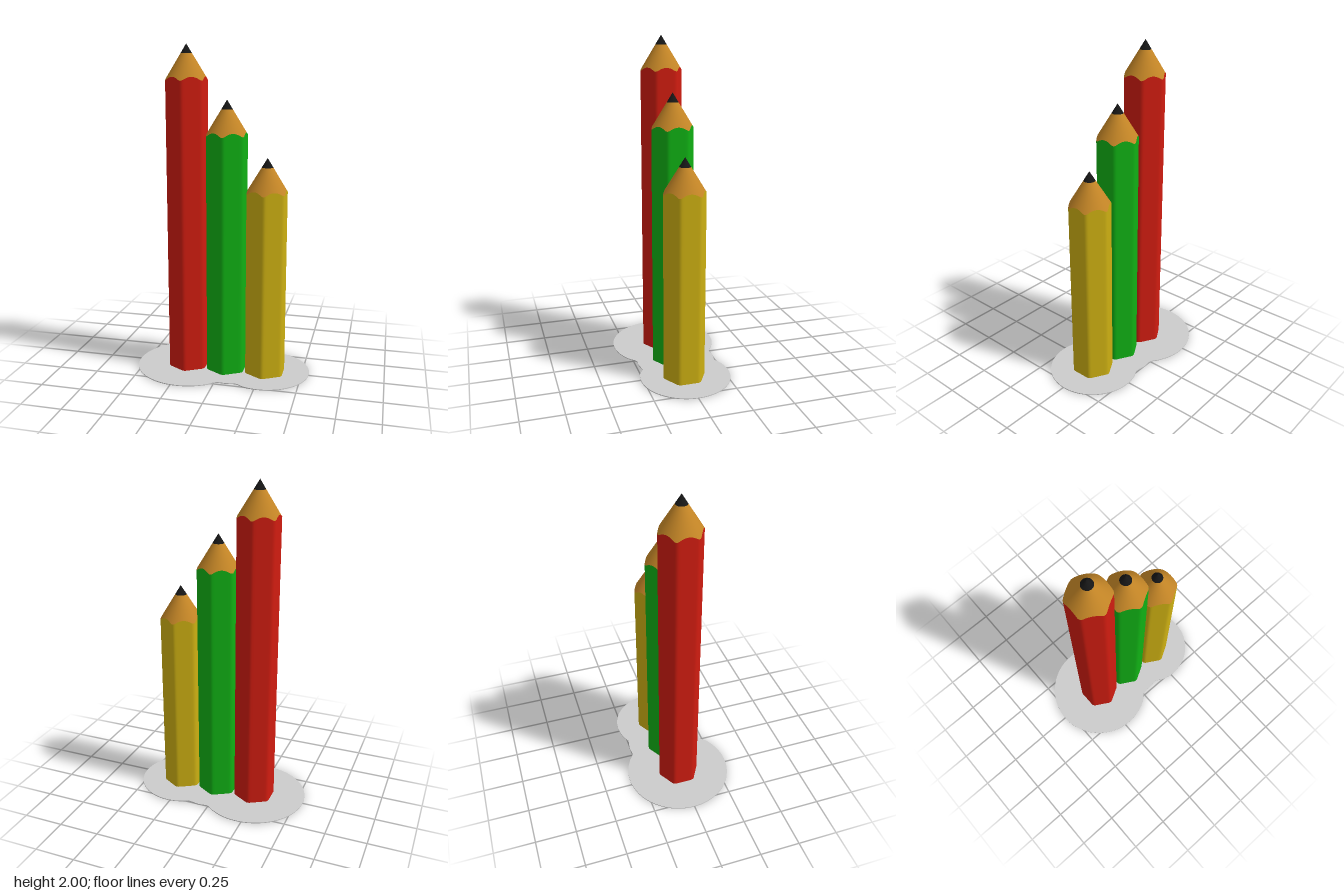
import * as THREE from 'three';

const APOTHEM = 0.115;   // centre to flat side
const CORNER = 0.03;     // rounding of the six edges
const SLOPE = 1.64;      // drop of the sharpened cone per unit of radius
const LEAD_R = 0.034;
const PLATE_H = 0.005;

const paint = (color) => new THREE.MeshStandardMaterial({ color });

// Rounded hexagon with corners on +z and -z; flats are subdivided so the cut can curve
function hexProfile() {
  const points = [];
  const d = (APOTHEM - CORNER) / Math.cos(Math.PI / 6);
  const arcPoint = (corner, t) => {
    const a = corner * Math.PI / 3, b = a + t * Math.PI / 6;
    return new THREE.Vector2(d * Math.sin(a) + CORNER * Math.sin(b), d * Math.cos(a) + CORNER * Math.cos(b));
  };
  for (let i = 0; i < 6; i++) {
    for (let j = -2; j <= 2; j++) points.push(arcPoint(i, j / 2));
    const from = arcPoint(i, 1), to = arcPoint(i + 1, -1);
    for (let j = 1; j < 8; j++) points.push(from.clone().lerp(to, j / 8));
  }
  return points;
}

// Closed skin between two rings of equal length
function skin(lower, upper) {
  const n = lower.length, index = [];
  for (let i = 0; i < n; i++) {
    const k = (i + 1) % n;
    index.push(i, k, n + k, i, n + k, n + i);
  }
  const geometry = new THREE.BufferGeometry().setFromPoints([...lower, ...upper]);
  geometry.setIndex(index);
  geometry.computeVertexNormals();
  return geometry;
}

function addMesh(group, name, geometry, material) {
  const mesh = new THREE.Mesh(geometry, material);
  mesh.name = name;
  group.add(mesh);
  return mesh;
}

function makePencil(name, x, height, color, wood, lead) {
  const group = new THREE.Group();
  group.name = name;
  group.position.x = x;
  const profile = hexProfile();
  const base = profile.map((p) => new THREE.Vector3(p.x, 0.002, p.y));
  // The cone meets the hexagon lower at the corners, giving a scalloped edge
  const cut = profile.map((p) => new THREE.Vector3(p.x, height - SLOPE * p.length(), p.y));
  const collar = profile.map((p) => {
    const q = p.clone().setLength(LEAD_R);
    return new THREE.Vector3(q.x, height - SLOPE * LEAD_R, q.y);
  });
  addMesh(group, 'paintedBody', skin(base, cut), paint(color));
  addMesh(group, 'sharpenedWood', skin(cut, collar), wood);
  const leadHeight = SLOPE * LEAD_R;
  const tip = addMesh(group, 'leadTip', new THREE.ConeGeometry(LEAD_R, leadHeight, 48), lead);
  tip.position.y = height - leadHeight / 2;
  return group;
}

// Flat base: two merged discs with a slightly uneven waist
function makeBase() {
  const arc = (cx, cy, rx, ry, from, to, steps) =>
    Array.from({ length: steps + 1 }, (_, i) => {
      const a = THREE.MathUtils.degToRad(from + (to - from) * i / steps);
      return new THREE.Vector2(cx + rx * Math.cos(a), cy + ry * Math.sin(a));
    });
  const waist = (pairs) => pairs.map(([x, y]) => new THREE.Vector2(x, y));
  const outline = [
    ...arc(-0.215, 0.002, 0.33, 0.328, 58, 302, 18),
    ...waist([[0, -0.24], [0.025, -0.231], [0.07, -0.232], [0.12, -0.225], [0.145, -0.23]]),
    ...arc(0.27, 0.007, 0.275, 0.273, -108, 108, 16),
    ...waist([[0.145, 0.249], [0.125, 0.245], [0.06, 0.255], [0.005, 0.251]]),
  ];
  const shape = new THREE.Shape(new THREE.SplineCurve([...outline, outline[0]]).getPoints(160));
  const geometry = new THREE.ExtrudeGeometry(shape, { depth: PLATE_H, bevelEnabled: false });
  return geometry.rotateX(-Math.PI / 2);
}

export function createModel() {
  const model = new THREE.Group();
  model.name = 'pencilTrio';
  const wood = paint(0xc58626), lead = paint(0x161616);
  addMesh(model, 'basePlate', makeBase(), paint(0xcccccc));
  const pencils = [
    ['redPencil', -0.22, 2.0, 0xd01c10],
    ['greenPencil', 0.025, 1.68, 0x10b014],
    ['yellowPencil', 0.27, 1.345, 0xccaf12],
  ];
  for (const [name, x, height, color] of pencils) model.add(makePencil(name, x, height, color, wood, lead));
  return model;
}
